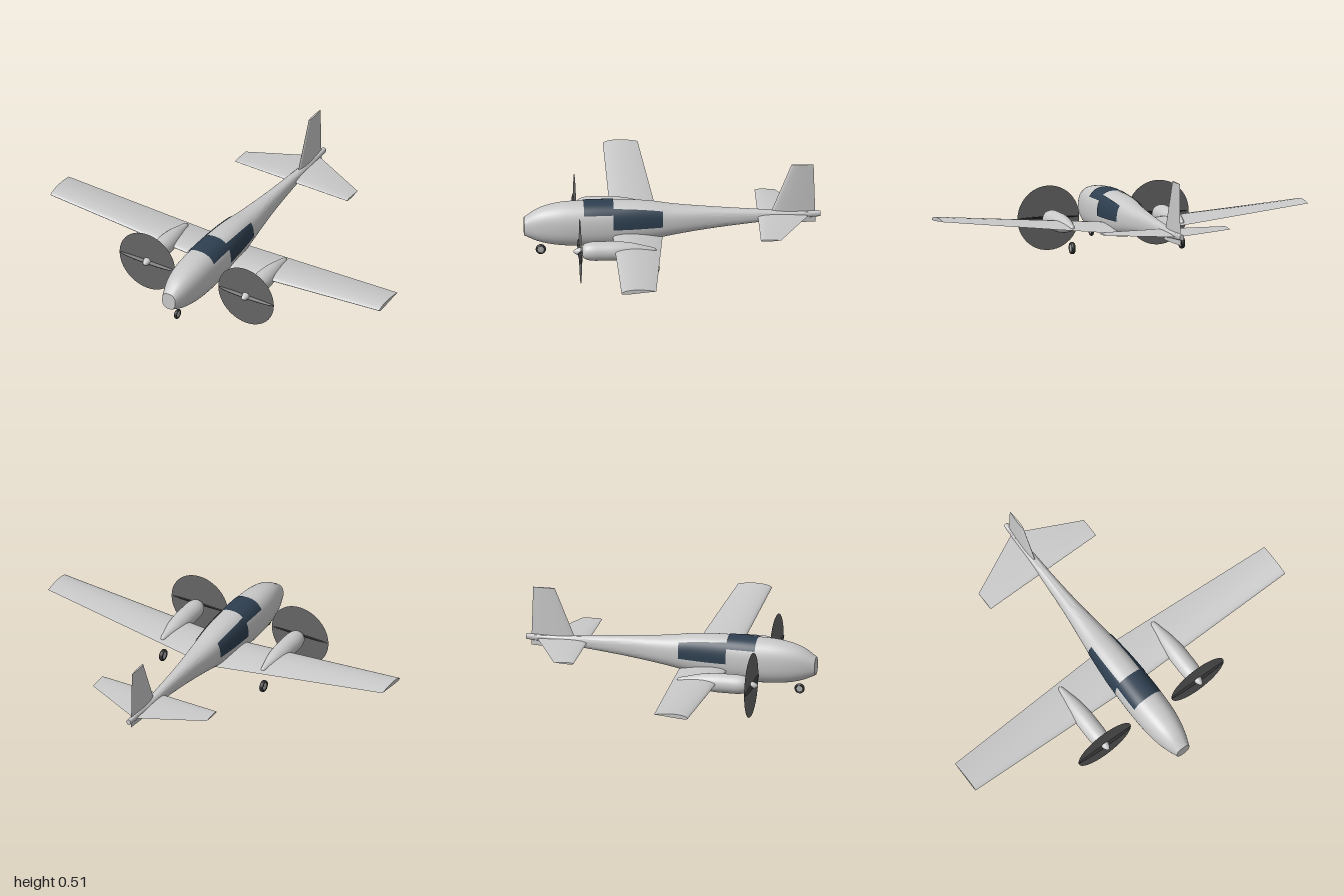
import * as THREE from 'three';
import { toCreasedNormals } from 'three/addons/utils/BufferGeometryUtils.js';

const mat = (name, color, side = THREE.FrontSide) => {
  const m = new THREE.MeshStandardMaterial({ color, side });
  m.name = name;
  return m;
};

// Skin through a list of closed rings of [x, y, z], with both ends capped
function loft(rings, crease = 0.7) {
  const n = rings[0].length, pos = rings.flat(2), idx = [];
  for (let i = 0; i < rings.length - 1; i++) {
    for (let j = 0; j < n; j++) {
      const a = i * n + j, b = i * n + (j + 1) % n;
      idx.push(a, b, a + n, b, b + n, a + n);
    }
  }
  [0, rings.length - 1].forEach((r, end) => {
    const c = pos.length / 3;
    for (let k = 0; k < 3; k++) pos.push(rings[r].reduce((s, p) => s + p[k], 0) / n);
    for (let j = 0; j < n; j++) {
      const a = r * n + j, b = r * n + (j + 1) % n;
      idx.push(c, ...(end ? [a, b] : [b, a]));
    }
  });
  // Turn the faces outward if the signed volume is negative
  const v = (i) => new THREE.Vector3().fromArray(pos, i * 3);
  let volume = 0;
  for (let i = 0; i < idx.length; i += 3) volume += v(idx[i]).dot(v(idx[i + 1]).cross(v(idx[i + 2])));
  if (volume < 0) idx.reverse();
  const g = new THREE.BufferGeometry();
  g.setAttribute('position', new THREE.Float32BufferAttribute(pos, 3));
  g.setIndex(idx);
  return toCreasedNormals(g, crease);
}

// Fuselage stations: z, half width, bottom, top
const stations = [
  [-0.77, 0.012, 0.218, 0.248], [-0.6, 0.02, 0.207, 0.252], [-0.4, 0.03, 0.188, 0.265],
  [-0.2, 0.045, 0.165, 0.28], [0, 0.068, 0.135, 0.298], [0.1, 0.079, 0.115, 0.313],
  [0.2, 0.088, 0.1, 0.321], [0.3, 0.093, 0.091, 0.323], [0.45, 0.095, 0.087, 0.322],
  [0.6, 0.086, 0.094, 0.312], [0.7, 0.065, 0.115, 0.283], [0.768, 0.04, 0.145, 0.239],
];
const hull = new THREE.CubicInterpolant(
  stations.map((s) => s[0]), stations.flatMap((s) => s.slice(1)), 3, new Float32Array(3));

// Point on the fuselage skin at station z and angle a, pushed out by lift
function skin(z, a, lift = 0) {
  const [w, lo, hi] = hull.evaluate(z);
  const p = (t) => Math.sign(t) * Math.abs(t) ** 0.82;
  return [(w + lift) * p(Math.cos(a)), (lo + hi) / 2 + ((hi - lo) / 2 + lift) * p(Math.sin(a)), z];
}

// Window panel following the skin; from(t) and to(t) are its angle limits
function panel(z0, z1, from, to) {
  const g = new THREE.PlaneGeometry(1, 1, 32, 16), p = g.attributes.position;
  for (let i = 0; i < p.count; i++) {
    const t = p.getY(i) + 0.5, s = p.getX(i) + 0.5;
    p.setXYZ(i, ...skin(z0 + (z1 - z0) * t, from(t) + (to(t) - from(t)) * s, 0.003));
  }
  g.computeVertexNormals();
  return g;
}

// Aerofoil outline: [distance along chord 0..1, height relative to chord]
function aerofoil(thick, camber = 0, n = 14) {
  const out = [];
  for (let i = 0; i < 2 * n; i++) {
    const u = 0.5 + 0.5 * Math.cos(Math.PI * i / n);
    const h = 5 * thick * (0.2969 * Math.sqrt(u) - 0.126 * u - 0.3516 * u * u + 0.2843 * u ** 3 - 0.1036 * u ** 4);
    out.push([u, (i <= n ? h : -h) + 4 * camber * u * (1 - u)]);
  }
  return out;
}

// Horizontal surface; stations are [x, leading z, trailing z, leading y, trailing y]
const surface = (foil, list) => loft(list.map(([x, z0, z1, y0, y1]) =>
  foil.map(([u, h]) => [x, y0 + (y1 - y0) * u + h * (z0 - z1), z0 + (z1 - z0) * u])));

export function createModel() {
  const model = new THREE.Group();
  model.name = 'twinEngineAeroplane';
  const paint = mat('light grey paint', 0xc9c9c9);
  const glass = mat('dark blue glass', 0x2e3f50, THREE.DoubleSide);
  const discMat = mat('propeller blur grey', 0x666666, THREE.DoubleSide);
  const dark = mat('dark blade grey', 0x333333);
  const rubber = mat('tyre black', 0x2b2b2b);
  const hubMat = mat('wheel hub grey', 0xb0b0b0);

  const add = (name, geo, material, x = 0, y = 0, z = 0, parent = model) => {
    const m = new THREE.Mesh(geo, material);
    m.name = name;
    m.position.set(x, y, z);
    parent.add(m);
    return m;
  };

  // Fuselage
  const rings = [];
  for (let i = 0; i <= 64; i++) {
    const z = -0.77 + 1.538 * i / 64;
    rings.push(Array.from({ length: 40 }, (_, j) => skin(z, j / 40 * Math.PI * 2)));
  }
  add('fuselage', loft(rings), paint);

  // Windows: one over the roof, one on each side
  add('roofWindow', panel(0.305, 0.46, () => 0.55, () => Math.PI - 0.55), glass);
  const low = (t) => -0.1 + 0.06 * t, high = (t) => 0.76 + 0.16 * t;
  add('leftWindow', panel(0.05, 0.308, low, high), glass);
  add('rightWindow', panel(0.05, 0.308, (t) => Math.PI - low(t), (t) => Math.PI - high(t)), glass);

  // Wing and tailplane, tip to tip
  add('wing', surface(aerofoil(0.12, 0.03),
    [[-1, 0.31, 0.13, 0.226, 0.234], [0, 0.31, 0.047, 0.15, 0.132], [1, 0.31, 0.13, 0.226, 0.234]]), paint);
  add('tailplane', surface(aerofoil(0.09),
    [[-0.34, -0.445, -0.55, 0.228, 0.228], [0, -0.445, -0.715, 0.228, 0.228], [0.34, -0.445, -0.55, 0.228, 0.228]]), paint);

  // Fin
  add('fin', loft([[0.188, -0.49, -0.745], [0.508, -0.62, -0.735]].map(([y, z0, z1]) =>
    aerofoil(0.085).map(([u, h]) => [h * (z0 - z1), y, z0 + (z1 - z0) * u]))), paint);

  // Lathe profile of [radius, z], turned to lie along z
  const turned = (pts, soft) => {
    const v = pts.map((p) => new THREE.Vector2(...p));
    const prof = soft ? new THREE.SplineCurve(v).getPoints(40).map((p) => p.setX(Math.max(0, p.x))) : v;
    return new THREE.LatheGeometry(prof, 32).rotateX(Math.PI / 2);
  };
  const nacelle = turned([[0, 0.095], [0.012, 0.105], [0.026, 0.16], [0.04, 0.22], [0.049, 0.3],
    [0.05, 0.37], [0.049, 0.43], [0.04, 0.465], [0.025, 0.478], [0, 0.48]], true);
  const spinner = turned([[0.021, 0.47], [0.021, 0.495], [0.015, 0.512], [0.006, 0.524], [0, 0.526]]);
  const blade = new THREE.SphereGeometry(1, 24, 12).scale(0.168, 0.005, 0.014);

  // Wheel: tyre ring with a hub, axle along x
  const wheel = (name, r, width, x, y, z) => {
    const g = new THREE.Group();
    g.name = name;
    g.position.set(x, y, z);
    add('tyre', new THREE.TorusGeometry(r * 0.78, r * 0.22, 12, 32).rotateY(Math.PI / 2).scale(width / (r * 0.44), 1, 1),
      rubber, 0, 0, 0, g);
    add('hub', new THREE.CylinderGeometry(r * 0.64, r * 0.64, width * 0.7, 24).rotateZ(Math.PI / 2), hubMat, 0, 0, 0, g);
    model.add(g);
  };
  wheel('noseWheel', 0.027, 0.016, 0, 0.061, 0.68);

  // Engines, propellers and main wheels on both sides
  for (const [side, s] of [['left', 1], ['right', -1]]) {
    const engine = new THREE.Group();
    engine.name = side + 'Engine';
    engine.position.set(0.3 * s, 0.171, 0);
    add('nacelle', nacelle, paint, 0, 0, 0, engine);
    add('spinner', spinner, paint, 0, 0, 0, engine);
    add('propellerDisc', new THREE.CircleGeometry(0.169, 48), discMat, 0, 0, 0.49, engine);
    add('propellerBlades', blade, dark, 0, 0, 0.492, engine).rotation.x = 0.65;
    model.add(engine);
    wheel(side + 'MainWheel', 0.032, 0.022, 0.3 * s, 0.067, 0.11);
  }
  return model;
}
